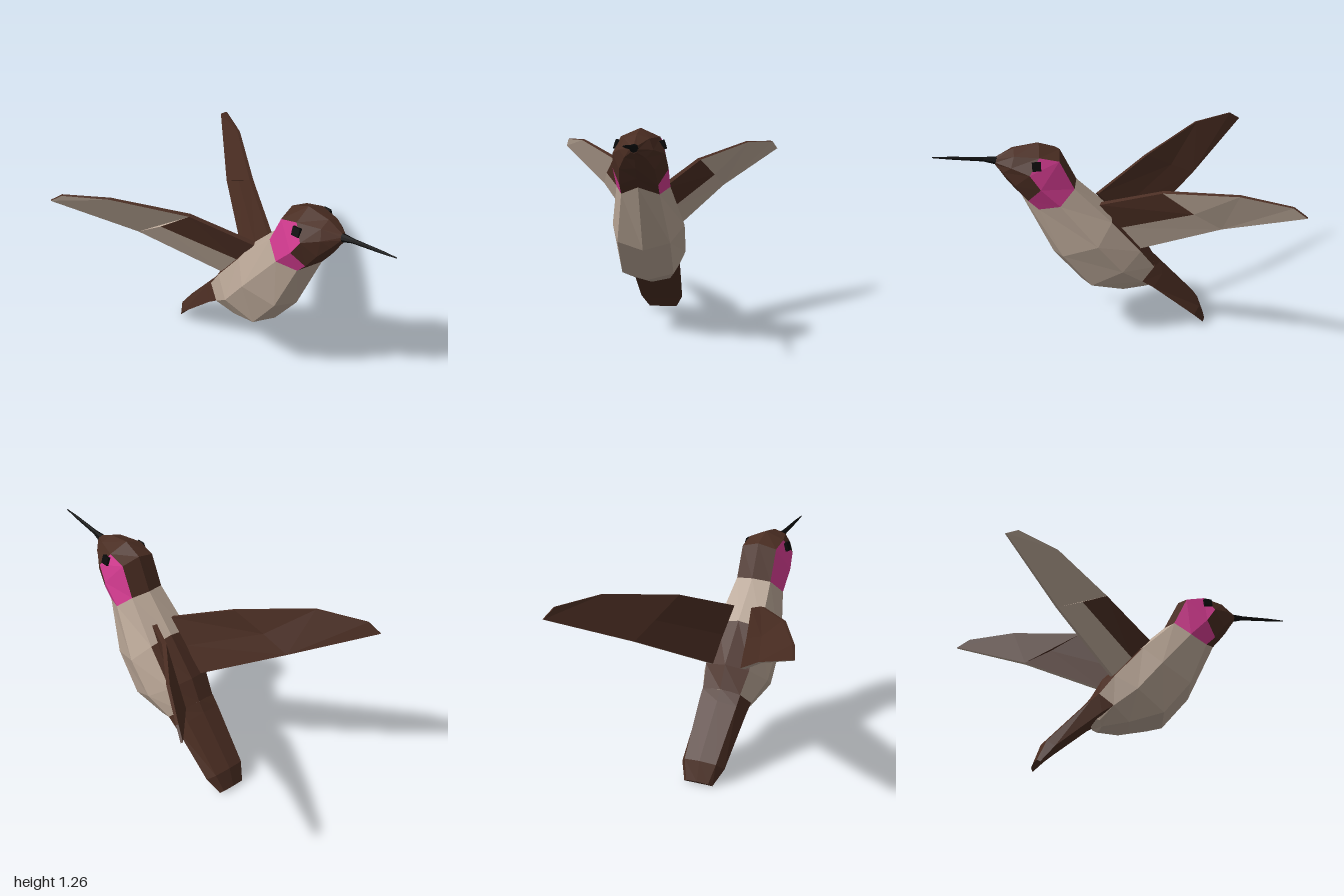
import * as THREE from 'three';

const mat = (name, color) => {
  const m = new THREE.MeshStandardMaterial({ color });
  m.name = name;
  return m;
};

// Faceted mesh from convex polygons (corners counter-clockwise from outside)
function polyMesh(name, polys, material) {
  const pos = [];
  for (const p of polys)
    for (let i = 1; i < p.length - 1; i++) pos.push(...p[0], ...p[i], ...p[i + 1]);
  const g = new THREE.BufferGeometry();
  g.setAttribute('position', new THREE.Float32BufferAttribute(pos, 3));
  g.computeVertexNormals();
  const mesh = new THREE.Mesh(g, material);
  mesh.name = name;
  return mesh;
}

const flip = ([x, y, z]) => [-x, y, z];

// Half ring of five points (front, front diagonal, side, back diagonal, back) to a full ring of eight
const fullRing = h => [...h, ...h.slice(1, 4).reverse().map(flip)];

// Quads between successive rings, sorted into named sets by ring and mirrored side
function loft(halfRings, pick) {
  const rings = halfRings.map(fullRing), sets = {};
  const add = (key, poly) => (sets[key] ??= []).push(poly);
  for (let i = 0; i < rings.length - 1; i++)
    for (let j = 0; j < 8; j++) {
      const k = (j + 1) % 8, a = rings[i], b = rings[i + 1];
      add(pick(i, Math.min(j, 7 - j)), [a[j], b[j], b[k], a[k]]);
    }
  add(pick(0, 0), rings[0]);
  add(pick(rings.length - 2, 0), [...rings[rings.length - 1]].reverse());
  return sets;
}

// Upright round half ring, for the bill
const roundRing = (r, y, z) => [0, 1, 2, 3, 4].map(i => {
  const a = i * Math.PI / 4;
  return [r * Math.sin(a), y - r * Math.cos(a), z];
});

export function createModel() {
  const model = new THREE.Group();
  model.name = 'hummingbird';
  const brown = mat('brown feathers', 0x4a2d22);
  const beige = mat('beige feathers', 0xb8a595);
  const pink = mat('magenta throat', 0xd63c92);
  const black = mat('black', 0x0a0a0a);

  // Head and body: one loft from the bill base to the rump
  const rings = [
    roundRing(0.024, 1.16, 0.645),
    [[0, 1.1, 0.62], [0.06, 1.11, 0.605], [0.095, 1.15, 0.56], [0.07, 1.21, 0.54], [0, 1.235, 0.535]],
    [[0, 1.05, 0.59], [0.1, 1.04, 0.54], [0.15, 1.12, 0.46], [0.112, 1.21, 0.4], [0, 1.258, 0.39]],
    [[0, 0.99, 0.545], [0.11, 0.945, 0.47], [0.16, 1.03, 0.4], [0.11, 1.18, 0.285], [0, 1.21, 0.27]],
    [[0, 0.935, 0.5], [0.11, 0.885, 0.41], [0.157, 0.915, 0.29], [0.11, 1.0, 0.2], [0, 1.015, 0.175]],
    [[0, 0.545, 0.32], [0.155, 0.585, 0.28], [0.217, 0.66, 0.08], [0.14, 0.78, -0.015], [0, 0.81, -0.03]],
    [[0, 0.335, 0.15], [0.155, 0.37, 0.11], [0.208, 0.475, -0.07], [0.14, 0.57, -0.19], [0, 0.6, -0.225]],
    [[0, 0.28, -0.06], [0.11, 0.3, -0.09], [0.157, 0.37, -0.2], [0.12, 0.445, -0.28], [0, 0.47, -0.295]],
    [[0, 0.27, -0.235], [0.05, 0.275, -0.24], [0.08, 0.3, -0.26], [0.05, 0.32, -0.28], [0, 0.325, -0.285]],
  ];
  const parts = loft(rings, (i, side) => {
    if (i < 4) return (i === 2 && side === 2) || (i === 3 && (side === 1 || side === 2)) ? 'cheeks' : 'head';
    return (i === 5 || i === 6) && side === 3 ? 'backPatch' : 'body';
  });
  const partMat = { head: brown, cheeks: pink, body: beige, backPatch: brown };
  for (const key in parts) model.add(polyMesh(key, parts[key], partMat[key]));

  // Bill: thin tapered cone, slightly rising
  const bill = loft([
    roundRing(0.003, 1.206, 1.0), roundRing(0.009, 1.196, 0.9),
    roundRing(0.014, 1.176, 0.71), roundRing(0.027, 1.162, 0.63),
  ], () => 'bill');
  model.add(polyMesh('bill', bill.bill, black));

  // Tail: flattened wedge
  const tail = loft([
    [[0, 0.35, -0.19], [0.09, 0.355, -0.19], [0.157, 0.371, -0.2], [0.122, 0.448, -0.28], [0, 0.475, -0.29]],
    [[0, 0.31, -0.28], [0.09, 0.31, -0.28], [0.153, 0.32, -0.27], [0.12, 0.395, -0.33], [0, 0.412, -0.338]],
    [[0, 0.07, -0.54], [0.09, 0.07, -0.54], [0.136, 0.085, -0.535], [0.1, 0.125, -0.575], [0, 0.135, -0.585]],
    [[0, 0, -0.603], [0.05, 0, -0.603], [0.09, 0, -0.605], [0.07, 0.015, -0.62], [0, 0.02, -0.625]],
  ], () => 'tail');
  model.add(polyMesh('tail', tail.tail, brown));

  // Wing outline: shoulder, leading edge, tip, trailing edge and covert corners
  const A = [0.08, 0.87, 0.05], B = [0.275, 1.015, -0.285], C = [0.55, 1.098, -0.66];
  const D = [0.7, 1.083, -0.92], E = [0.73, 1.03, -0.993], T = [0.395, 0.82, -0.61];
  const R = [0.105, 0.57, -0.18], M = [0.1, 0.72, -0.07], P = [0.35, 0.905, -0.455];
  const inner = ([x, y, z]) => {
    const t = 0.03 - 0.018 * Math.min(1, Math.max(0, -z));
    return [x - 0.84 * t, y + 0.26 * t, z - 0.48 * t];
  };
  const covert = [A, M, P, B];
  const flight = [[M, R, T, P], [P, T, C, B], [T, E, D, C]];
  const rim = loop => loop.slice(1).map((q, i) => [loop[i], inner(loop[i]), inner(q), q]);
  const wingParts = [
    ['coverts', [covert], brown],
    ['flightFeathers', [...flight, ...rim([M, R, T, E])], beige],
    ['wingBack', [...[covert, ...flight].map(p => p.map(inner).reverse()),
      ...rim([E, D, C, B, A, M])], brown],
  ];

  for (const [side, s] of [['left', 1], ['right', -1]]) {
    const wing = new THREE.Group();
    wing.name = side + 'Wing';
    for (const [name, polys, m] of wingParts)
      wing.add(polyMesh(name, s > 0 ? polys : polys.map(p => p.map(flip).reverse()), m));
    model.add(wing);

    // Eye
    const eye = new THREE.Mesh(new THREE.BoxGeometry(0.03, 0.052, 0.05), black);
    eye.name = side + 'Eye';
    eye.position.set(s * 0.128, 1.166, 0.418);
    eye.rotation.z = s * 0.3;
    model.add(eye);
  }
  return model;
}
